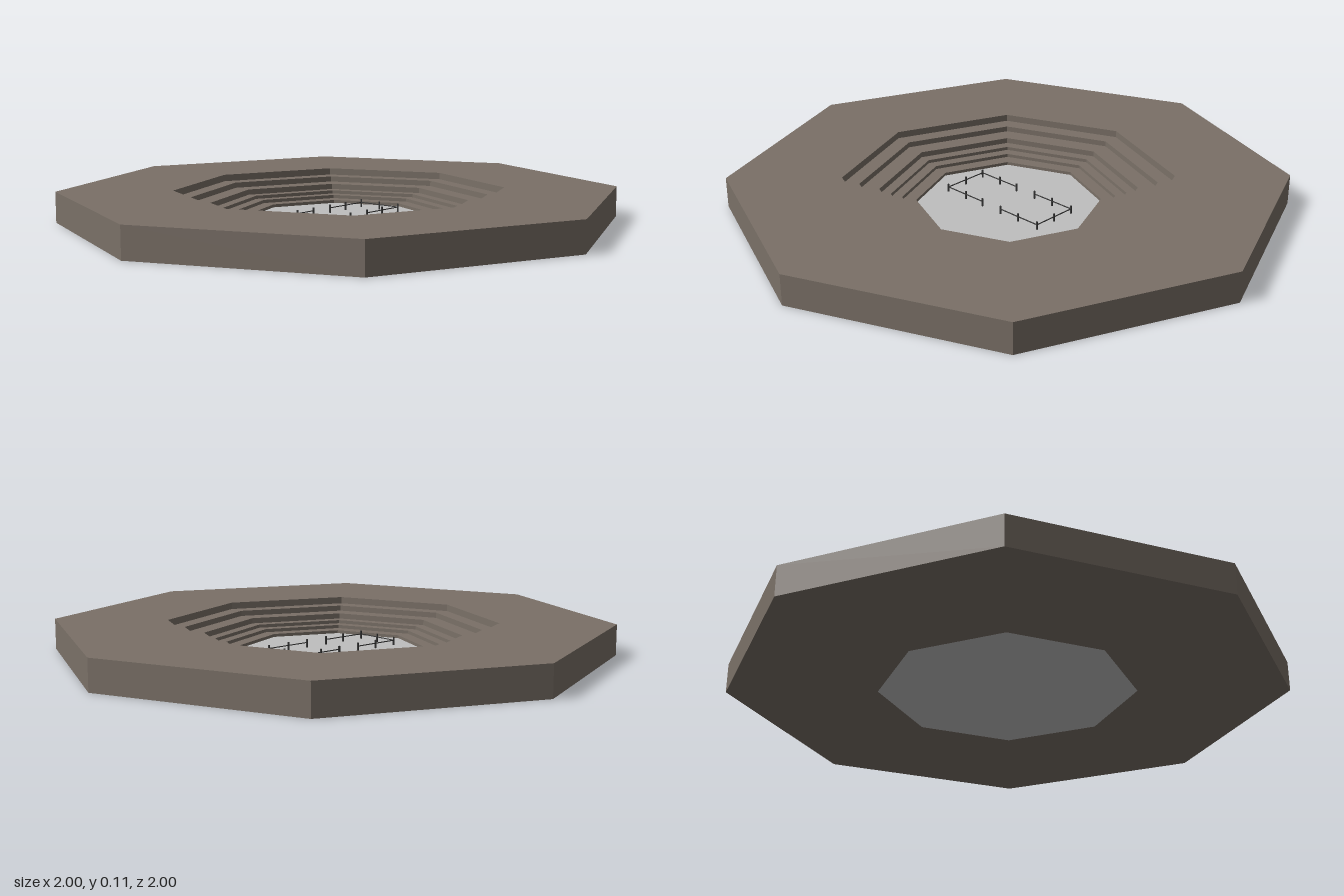
import * as THREE from 'three';

// Give every facet its own normal so the octagon stays crisp
function facet(geometry) {
  const g = geometry.toNonIndexed();
  g.computeVertexNormals();
  return g;
}

export function createModel() {
  const group = new THREE.Group();
  const material = (name, color) => Object.assign(new THREE.MeshStandardMaterial({ color }), { name });
  const stone = material('brownStone', 0x7a7067);
  const floorGrey = material('paleFloor', 0xbfbfbf);
  const dark = material('darkMetal', 0x3a3a3a);

  const add = (parent, name, geometry, mat, x = 0, y = 0, z = 0) => {
    const mesh = new THREE.Mesh(geometry, mat);
    mesh.name = name;
    mesh.position.set(x, y, z);
    parent.add(mesh);
    return mesh;
  };

  // Octagonal surround: underside, outer wall, rim, then steps down into the pit
  const steps = [[0.59, 0.085], [0.53, 0.065], [0.46, 0.045], [0.42, 0.033], [0.38, 0.021], [0.33, 0.01]];
  const profile = [[0.46, 0], [1, 0], [1, 0.11]];
  let level = 0.11;
  for (const [radius, lower] of steps) {
    profile.push([radius, level], [radius, lower]);
    level = lower;
  }
  const surround = new THREE.LatheGeometry(profile.map(([r, y]) => new THREE.Vector2(r, y)), 8);
  add(group, 'steppedSurround', facet(surround), stone);

  // Floor slab, reaching under the lower steps
  add(group, 'pitFloor', facet(new THREE.CylinderGeometry(0.46, 0.46, 0.01, 8)), floorGrey, 0, 0.005, 0);

  // Two U-shaped railings with a gap between them
  const X = 0.087, NEAR = 0.045, FAR = 0.22, FLOOR = 0.01;
  const post = new THREE.BoxGeometry(0.005, 0.03, 0.005);
  const sideRail = new THREE.BoxGeometry(0.003, 0.003, FAR - NEAR);
  const endRail = new THREE.BoxGeometry(2 * X, 0.003, 0.003);
  for (const s of [-1, 1]) {
    const railing = new THREE.Group();
    railing.name = s > 0 ? 'frontRailing' : 'backRailing';
    group.add(railing);
    for (const x of [-X, X]) {
      for (const z of [NEAR, 0.13, FAR]) add(railing, 'post', post, dark, x, FLOOR + 0.015, s * z);
      add(railing, 'sideRail', sideRail, dark, x, FLOOR + 0.018, s * (NEAR + FAR) / 2);
    }
    add(railing, 'post', post, dark, 0, FLOOR + 0.015, s * FAR);
    add(railing, 'endRail', endRail, dark, 0, FLOOR + 0.018, s * FAR);
  }
  return group;
}
